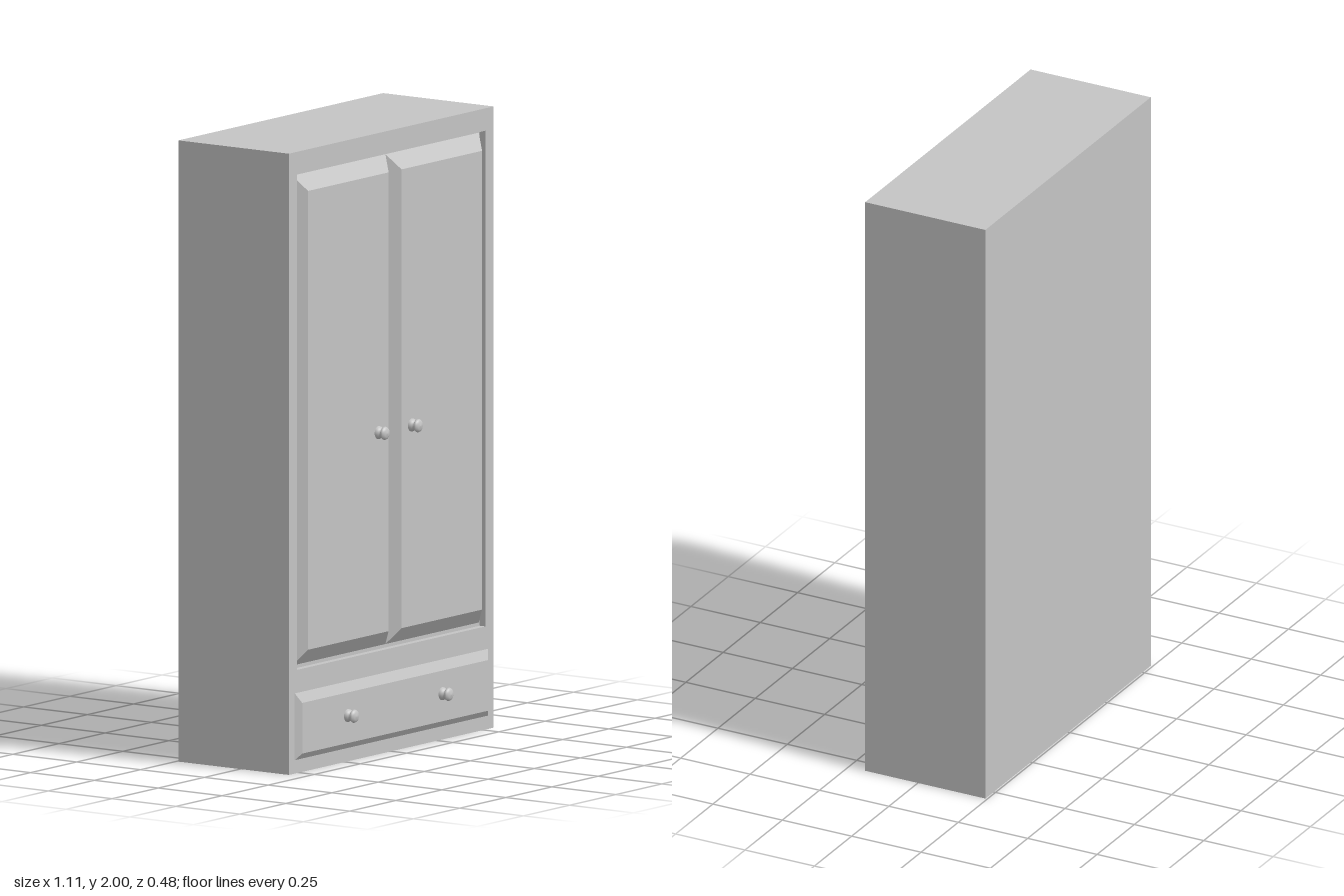
import * as THREE from 'three';

const BACK = -0.243, RECESS = 0.167, FRONT = 0.19, FACE = 0.205;

// Rectangle path from its edges
function rect(path, x0, x1, y0, y1) {
  path.moveTo(x0, y0);
  path.lineTo(x1, y0);
  path.lineTo(x1, y1);
  path.lineTo(x0, y1);
  path.closePath();
  return path;
}

// Raised panel: a box whose front face is drawn in by a bevel on each edge
function raisedPanel(x0, x1, y0, y1, z0, z1, side, top, bottom) {
  const g = new THREE.BoxGeometry(1, 1, 1).toNonIndexed();
  const p = g.attributes.position;
  for (let i = 0; i < p.count; i++) {
    const f = p.getZ(i) > 0 ? 1 : 0;
    const x = p.getX(i) > 0 ? x1 - side * f : x0 + side * f;
    const y = p.getY(i) > 0 ? y1 - top * f : y0 + bottom * f;
    p.setXYZ(i, x, y, f ? z1 : z0);
  }
  g.computeVertexNormals();
  return g;
}

export function createModel() {
  const group = new THREE.Group();
  group.name = 'wardrobe';
  const paint = new THREE.MeshStandardMaterial({ color: 0xc4c4c4 });
  paint.name = 'light grey';

  const add = (name, geometry, parent = group) => {
    const mesh = new THREE.Mesh(geometry, paint);
    mesh.name = name;
    parent.add(mesh);
    return mesh;
  };

  // Cabinet body behind the face frame
  const depth = RECESS - BACK;
  add('carcass', new THREE.BoxGeometry(1.11, 2, depth).translate(0, 1, BACK + depth / 2));

  // Face frame with the door opening cut through
  const outline = rect(new THREE.Shape(), -0.555, 0.555, 0, 2);
  outline.holes.push(rect(new THREE.Path(), -0.51, 0.51, 0.332, 1.928));
  add('faceFrame', new THREE.ExtrudeGeometry(outline, { depth: FRONT - RECESS, bevelEnabled: false })
    .translate(0, 0, RECESS));

  // Pair of doors set into the opening
  add('rightDoor', raisedPanel(-0.506, 0, 0.343, 1.92, RECESS, FACE, 0.035, 0.05, 0.05));
  add('leftDoor', raisedPanel(0, 0.506, 0.343, 1.92, RECESS, FACE, 0.035, 0.05, 0.05));

  // Drawer front standing proud of the frame
  add('drawerFront', raisedPanel(-0.523, 0.523, 0.043, 0.258, FRONT, FACE, 0.02, 0.032, 0.02));

  // Turned knobs: flared foot, narrow neck, rounded button
  const profile = [
    [0.021, 0], [0.02, 0.006], [0.016, 0.012], [0.012, 0.016], [0.014, 0.018],
    [0.019, 0.021], [0.0215, 0.026], [0.019, 0.031], [0.012, 0.035], [0, 0.037],
  ].map(([r, h]) => new THREE.Vector2(r, h));
  const knob = new THREE.LatheGeometry(profile, 24).rotateX(Math.PI / 2);
  for (const [name, x, y] of [['DoorKnob', 0.09, 1.04], ['DrawerKnob', 0.256, 0.152]]) {
    add('left' + name, knob).position.set(x, y, FACE - 0.001);
    add('right' + name, knob).position.set(-x, y, FACE - 0.001);
  }
  return group;
}
